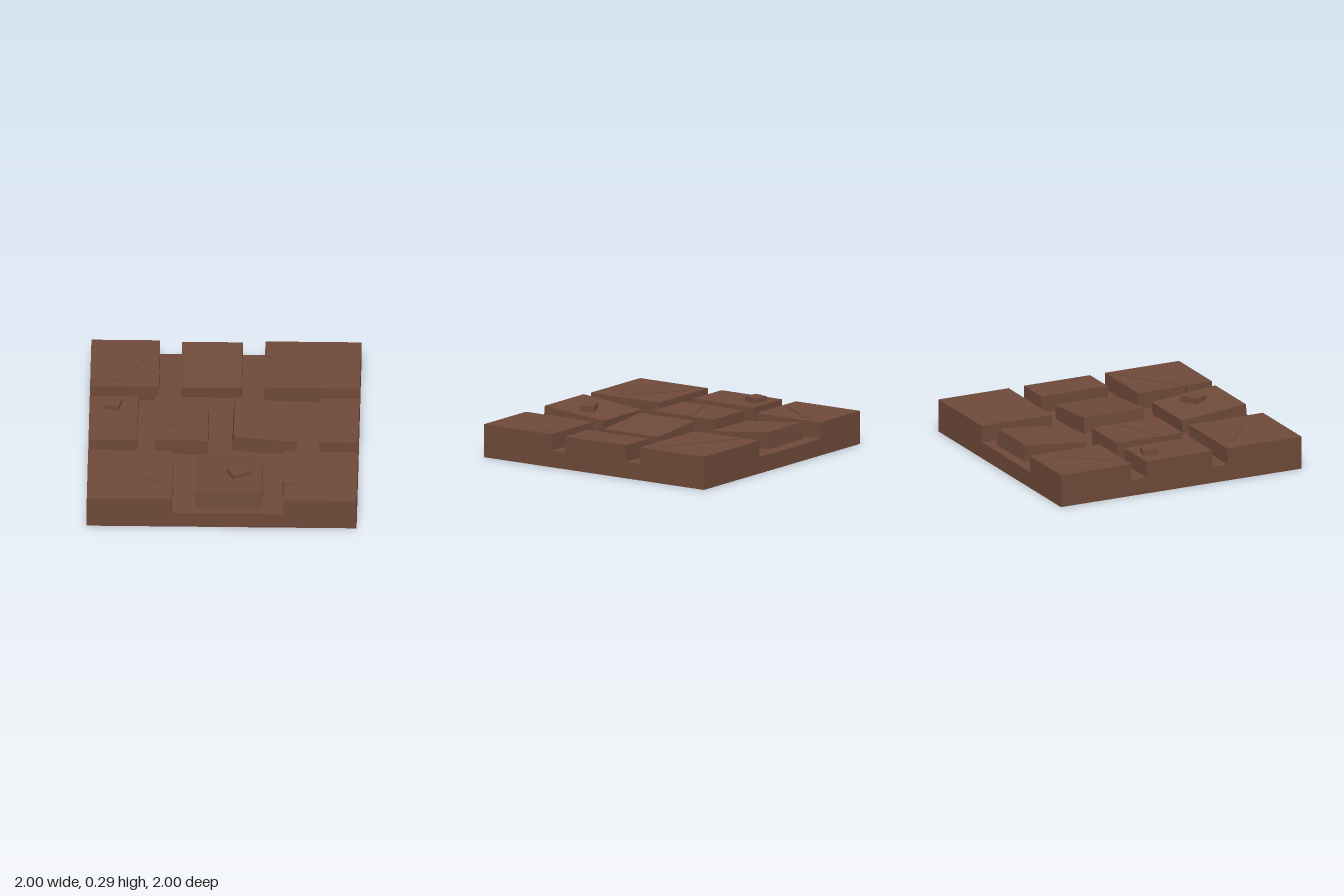
import * as THREE from 'three';

export function createModel() {
  const model = new THREE.Group();
  const brown = new THREE.MeshStandardMaterial({ color: 0x6e4939 });
  brown.name = 'earthBrown';

  const BASE = 0.125, TOP = 0.25;

  function box(name, w, h, d, x, y, z) {
    const mesh = new THREE.Mesh(new THREE.BoxGeometry(w, h, d), brown);
    mesh.name = name;
    mesh.position.set(x, y, z);
    model.add(mesh);
    return mesh;
  }

  // Paving block given by its edges in plan, resting on the base
  function paver(name, x0, x1, z0, z1) {
    return box(name, x1 - x0, TOP - BASE, z1 - z0, (x0 + x1) / 2, (BASE + TOP) / 2, (z0 + z1) / 2);
  }

  box('baseSlab', 2, BASE, 2, 0, BASE / 2, 0);

  // Level blocks
  [
    [-1, -0.49, -1, -0.417], [0.29, 1, -1, -0.417],
    [-1, -0.64, -0.29, 0.26], [-0.515, -0.115, -0.29, 0.26], [0.71, 1, -0.29, 0.26],
    [-1, -0.37, 0.385, 1], [0.46, 1, 0.385, 1],
  ].forEach((edges) => paver('levelPaver', ...edges));

  // Loose blocks, each lifted along one edge
  paver('tiltedBackPaver', -0.327, 0.123, -0.958, -0.447).rotation.x = 0.098;
  paver('tiltedFrontPaver', -0.2, 0.297, 0.418, 0.952).rotation.x = -0.093;
  paver('tiltedMiddlePaver', 0.07, 0.542, -0.262, 0.236).rotation.z = -0.088;

  // Slightly proud diagonal strips: start x, z and end x, z
  [
    [-0.835, -0.49, -0.576, -0.823],
    [0.311, -0.841, 0.87, -0.522],
    [-0.838, 0.478, -0.465, 0.777],
    [0.465, 0.794, 0.922, 0.474],
    [-0.47, 0.07, -0.126, -0.063],
  ].forEach(([xa, za, xb, zb]) => {
    const h = 0.256 - BASE;
    const strip = box('diagonalStrip', Math.hypot(xb - xa, zb - za), h, 0.065,
      (xa + xb) / 2, BASE + h / 2, (za + zb) / 2);
    strip.rotation.y = -Math.atan2(zb - za, xb - xa);
  });

  // Small loose chips
  box('leftChip', 0.114, 0.05, 0.122, -0.826, 0.265, -0.176).rotation.y = -0.27;
  box('frontChip', 0.146, 0.05, 0.112, 0.124, 0.265, 0.67).rotation.y = 0.44;

  return model;
}
